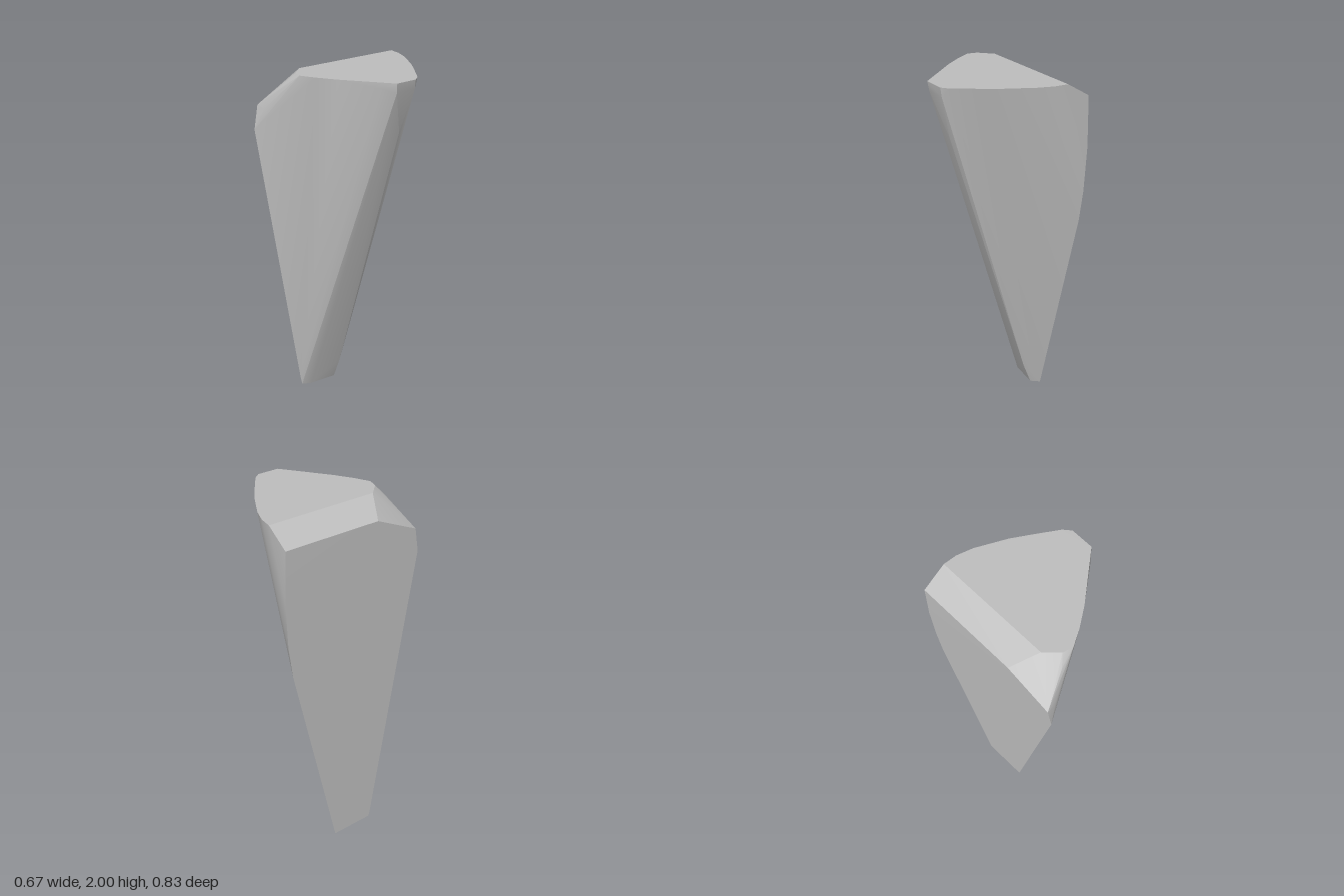
import * as THREE from 'three';
import { ConvexGeometry } from 'three/addons/geometries/ConvexGeometry.js';
import { toCreasedNormals } from 'three/addons/utils/BufferGeometryUtils.js';

export function createModel() {
  const stone = new THREE.MeshStandardMaterial({ color: 0xbebebe });
  stone.name = 'plain grey';

  // Corners as [x, y, z], grouped by feature; the wedge is their convex skin
  const foot = [
    [-0.335, 0, 0.16], [-0.31, 0, 0.11], [-0.29, 0, -0.05], [-0.335, 0, -0.09],
    [-0.335, 0.05, 0.17], [-0.235, 0.14, -0.053],
  ];
  const flatSideBack = [
    [-0.335, 1.22, -0.375], [-0.335, 1.4, -0.4], [-0.335, 1.65, -0.413], [-0.332, 1.92, -0.405],
  ];
  const flatSideFront = [
    [-0.335, 1.68, 0.415], [-0.335, 1.81, 0.39], [-0.335, 1.92, 0.14],
  ];
  const frontChamfer = [
    [-0.28, 1.8, 0.385], [-0.175, 1.95, 0.322], [0.275, 1.97, 0.07],
  ];
  const topRim = [
    [-0.2, -0.403], [-0.13, -0.394], [-0.05, -0.365], [0.1, -0.282], [0.2, -0.213],
    [0.305, -0.138], [0.335, -0.1], [0.335, 0.02], [0.29, 0.045], [0.1, 0.197],
    [0, 0.26], [-0.08, 0.3], [-0.135, 0.285], [-0.2, 0.215],
  ].map(([x, z]) => [x, 2, z]);
  const nose = [[0.328, 1.95, -0.1], [0.328, 1.95, 0.015], [0.265, 1.72, -0.06]];

  const points = [foot, flatSideBack, flatSideFront, frontChamfer, topRim, nose]
    .flat().map((p) => new THREE.Vector3(...p));

  // Soften only the shallow facets, keep the real edges sharp
  const wedge = new THREE.Mesh(toCreasedNormals(new ConvexGeometry(points), 0.35), stone);
  wedge.name = 'taperedWedge';

  const group = new THREE.Group();
  group.name = 'wedge';
  group.add(wedge);
  return group;
}
